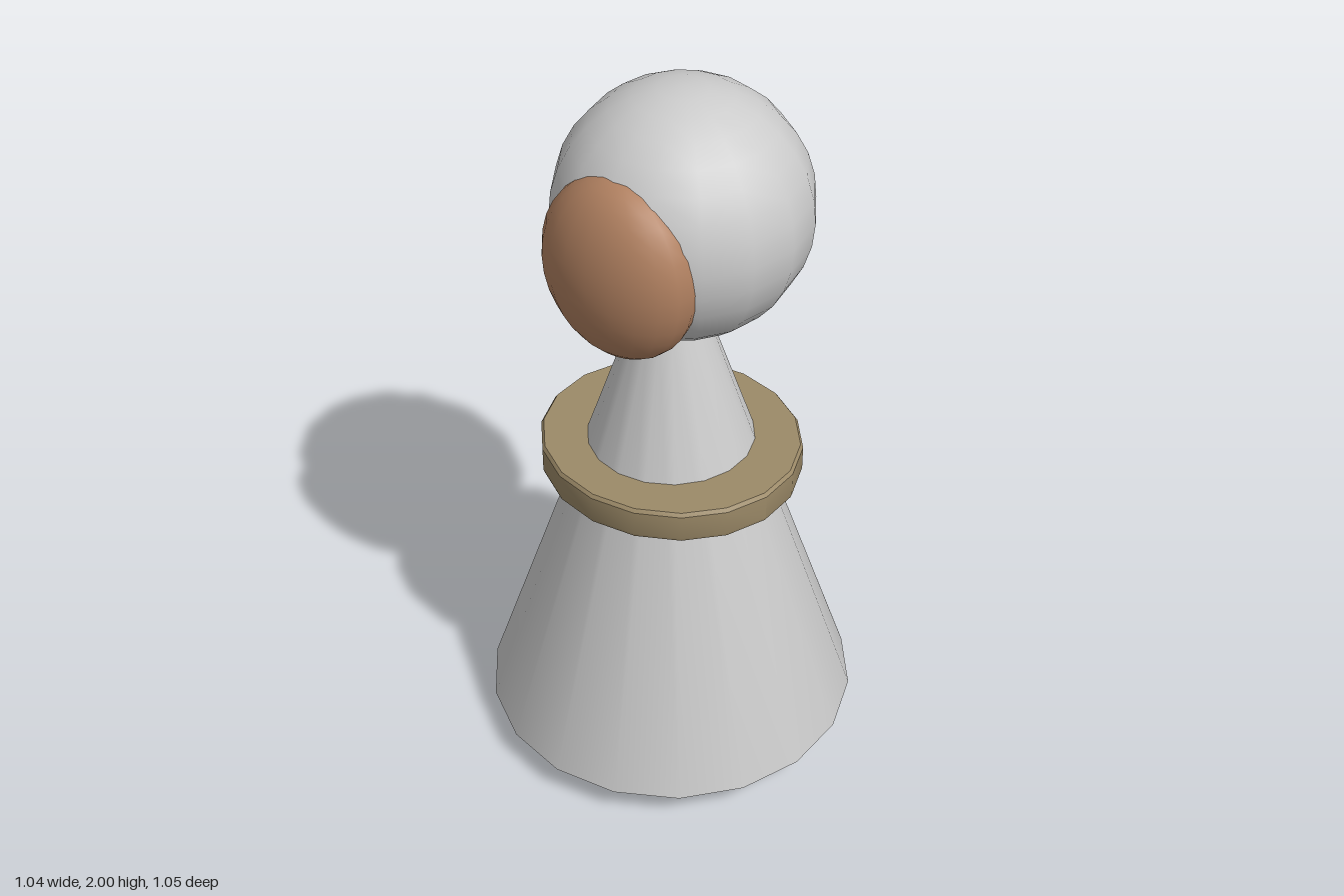
import * as THREE from 'three';
import { toCreasedNormals } from 'three/addons/utils/BufferGeometryUtils.js';

const SIDES = 18;

const material = (color) => new THREE.MeshStandardMaterial({ color });

function lathe(profile) {
  return new THREE.LatheGeometry(profile.map(([r, y]) => new THREE.Vector2(r, y)), SIDES);
}

export function createModel() {
  const model = new THREE.Group();
  const grey = material(0xcccccc);

  const add = (name, geometry, mat, parent = model) => {
    const mesh = new THREE.Mesh(geometry, mat);
    mesh.name = name;
    parent.add(mesh);
    return mesh;
  };

  // Conical robe with an undercut rim; the tip ends inside the head
  const body = new THREE.Group();
  body.name = 'body';
  model.add(body);
  add('robe', lathe([[0.445, 0], [0.527, 0.09], [0.1, 1.35], [0.05, 1.5]]), grey, body);
  const base = new THREE.CircleGeometry(0.445, SIDES, Math.PI / 2);
  base.rotateX(Math.PI / 2);
  add('base', base, grey, body);

  // Flat oval collar with a small bevel, a little wider than deep
  const collar = lathe([
    [0, 0.88], [0.99, 0.88], [1, 0.89], [1, 0.96], [0.98, 0.97], [0, 0.97],
  ]);
  collar.scale(0.366, 1, 0.343);
  add('collar', toCreasedNormals(collar, 0.5), material(0x9c8a68));

  // Round head, set slightly back
  const head = add('head', new THREE.SphereGeometry(0.341, 16, 16), grey);
  head.position.set(0, 1.66, -0.05);

  // Oval face pressed into the front of the head
  const face = add('face', new THREE.SphereGeometry(1, 20, 16), material(0xb08060));
  face.scale.set(0.227, 0.252, 0.137);
  face.position.set(0, 1.61, 0.207);

  return model;
}
